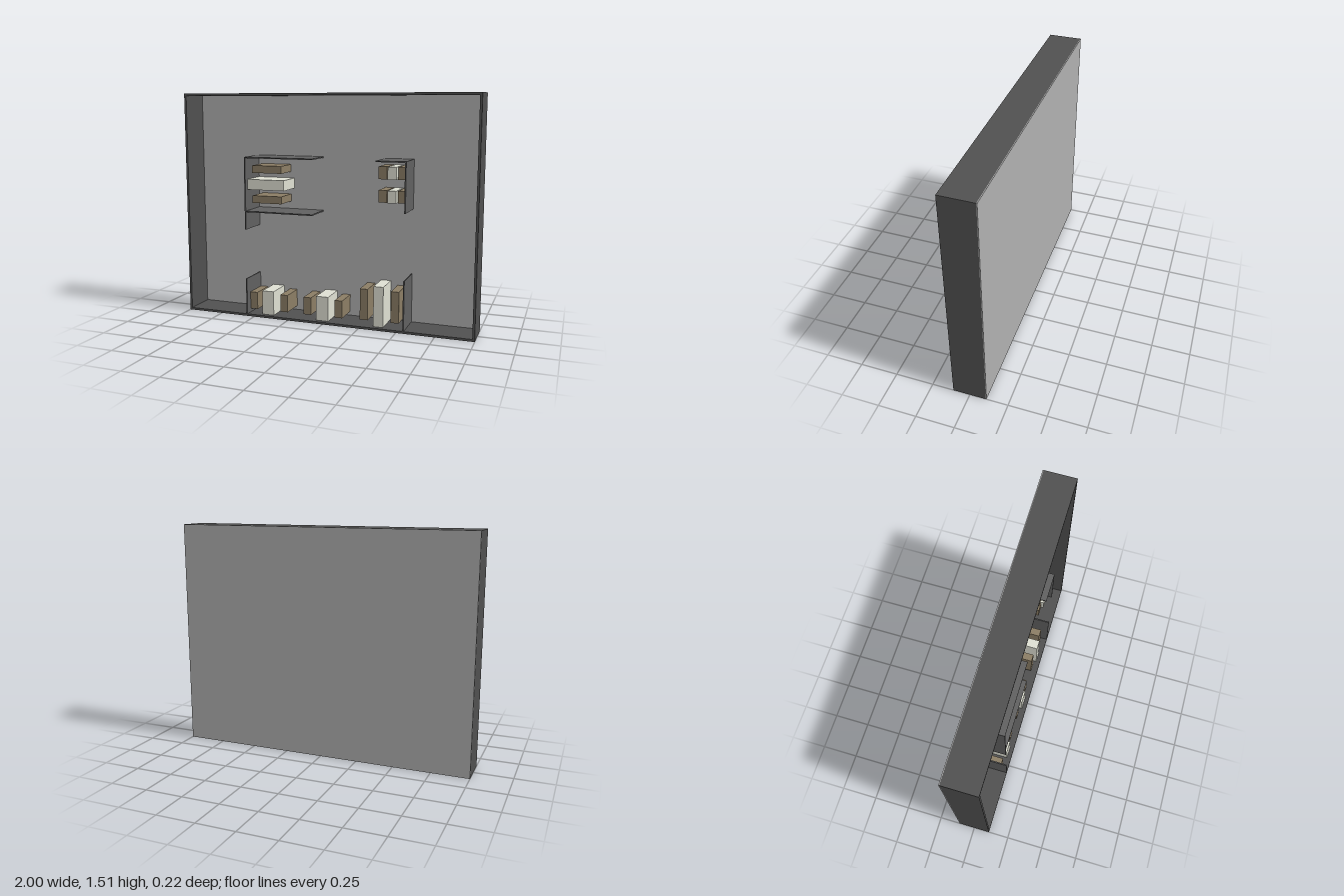
import * as THREE from 'three';

const BACK = -0.105, FRONT = 0.11, H = 1.515, T = 0.015;

const paint = (color) => new THREE.MeshStandardMaterial({ color });
const frameMat = paint(0x505050);
const panelMat = paint(0xb0b0b0);
const boardMat = paint(0x606060);
const paleMat = paint(0xdedfd2);
const brownMat = paint(0x8b7d65);

// Box given by its limits on each axis
function slab(parent, name, mat, x0, x1, y0, y1, z0 = BACK, z1 = FRONT) {
  const mesh = new THREE.Mesh(new THREE.BoxGeometry(x1 - x0, y1 - y0, z1 - z0), mat);
  mesh.position.set((x0 + x1) / 2, (y0 + y1) / 2, (z0 + z1) / 2);
  mesh.name = name;
  parent.add(mesh);
}

function group(parent, name) {
  const g = new THREE.Group();
  g.name = name;
  parent.add(g);
  return g;
}

const brown = (g, ...limits) => slab(g, 'brownBlock', brownMat, ...limits, BACK, 0.065);
const pale = (g, ...limits) => slab(g, 'paleBlock', paleMat, ...limits, BACK, 0.08);

export function createModel() {
  const model = new THREE.Group();
  model.name = 'displayCase';

  // Open-fronted case
  const shell = group(model, 'case');
  slab(shell, 'backPanel', panelMat, -1, 1, 0, H, -0.11, BACK);
  slab(shell, 'floor', frameMat, -1, 1, 0, T);
  slab(shell, 'ceiling', frameMat, -1 + T, 1 - T, H - T, H);
  slab(shell, 'rightWall', frameMat, -1, -1 + T, T, H);
  slab(shell, 'leftWall', frameMat, 1 - T, 1, T, H);

  // Thin upright dividers and shelves
  const boards = group(model, 'boards');
  for (const [x, y0, y1] of [
    [-0.553, T, 0.264], [0.548, T, 0.342], [-0.553, 0.604, 1.096], [0.548, 0.772, 1.096],
  ]) slab(boards, 'divider', boardMat, x - 0.004, x + 0.004, y0, y1);
  for (const [x0, x1, y] of [
    [-0.549, -0.07, 1.092], [-0.549, -0.07, 0.728], [0.356, 0.544, 1.092],
  ]) slab(boards, 'shelf', boardMat, x0, x1, y - 0.004, y + 0.004);

  // Floor sets: a pale block between two raised brown blocks
  for (const [a, p0, p1, b, paleTop, brownBottom, brownTop] of [
    [-0.546, -0.449, -0.365, -0.321, 0.18, 0.042, 0.16],
    [-0.15, -0.054, 0.031, 0.071, 0.18, 0.042, 0.16],
    [0.246, 0.342, 0.408, 0.455, 0.283, 0.048, 0.256],
  ]) {
    const set = group(model, 'floorSet');
    brown(set, a, a + 0.053, brownBottom, brownTop);
    pale(set, p0, p1, T, paleTop);
    brown(set, b, b + 0.053, brownBottom, brownTop);
  }

  // Sideways set on the right-hand shelves
  const side = group(model, 'sidewaysSet');
  brown(side, -0.519, -0.307, 0.987, 1.037);
  pale(side, -0.549, -0.282, 0.874, 0.944);
  brown(side, -0.519, -0.307, 0.783, 0.833);

  // Two small rows under the left-hand shelf
  for (const [y0, y1] of [[0.977, 1.057], [0.829, 0.907]]) {
    const row = group(model, 'smallRow');
    brown(row, 0.364, 0.419, y0, y1);
    pale(row, 0.427, 0.483, y0, y1);
    brown(row, 0.491, 0.546, y0, y1);
  }
  return model;
}
